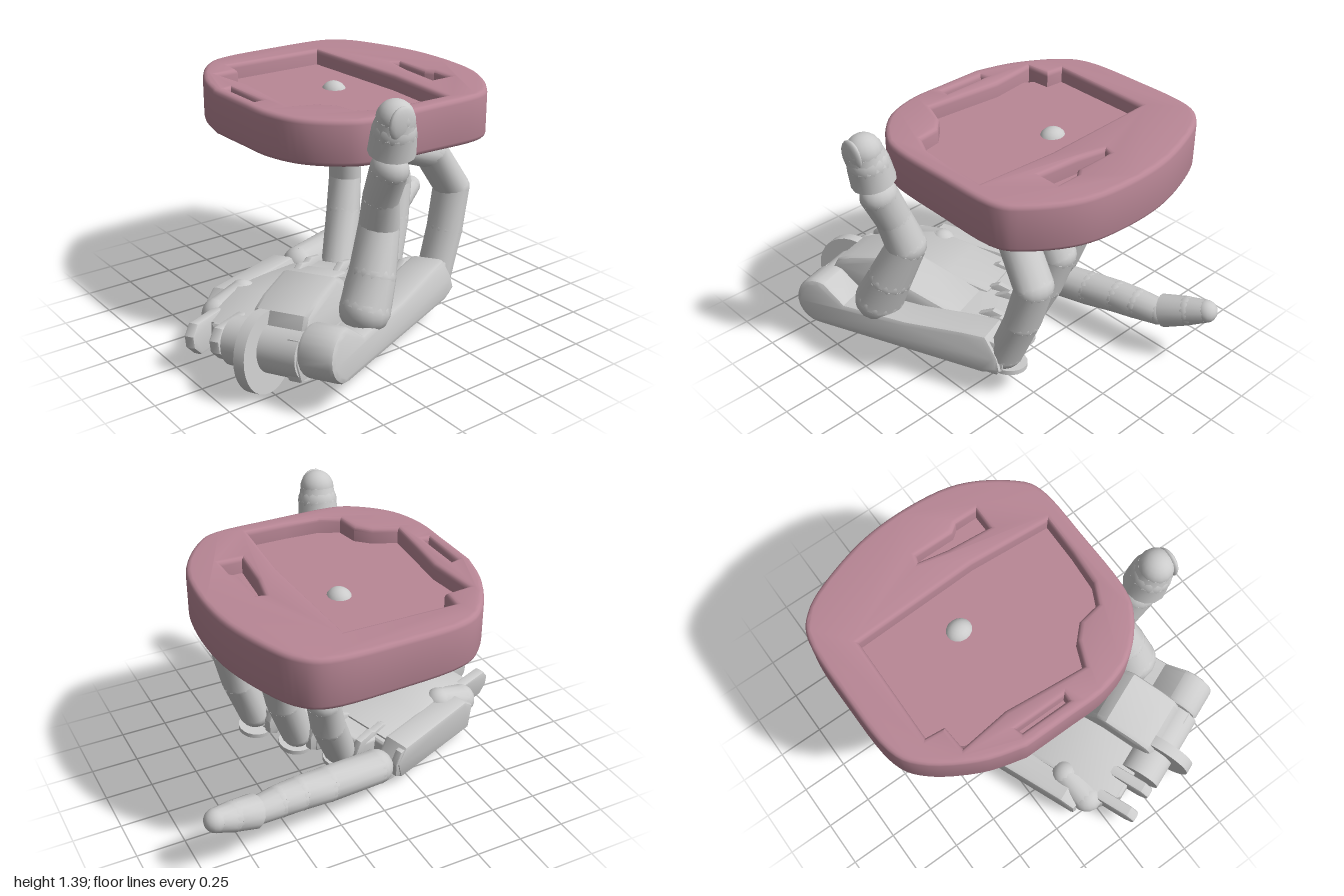
import * as THREE from 'three';
import { toCreasedNormals } from 'three/addons/utils/BufferGeometryUtils.js';

const grey = new THREE.MeshStandardMaterial({ color: 0xcccccc });
const pink = new THREE.MeshStandardMaterial({ color: 0xb98796 });
const V = (p) => new THREE.Vector3(p[0], p[1], p[2]);
const vec2s = (pts) => pts.map(([x, y]) => new THREE.Vector2(x, y));

function add(parent, name, geo, mat = grey) {
  const mesh = new THREE.Mesh(geo, mat);
  mesh.name = name;
  parent.add(mesh);
  return mesh;
}

// Tapered cylinder between two points
function rod(parent, name, a, b, ra, rb, sides = 14) {
  const A = V(a), B = V(b), dir = B.clone().sub(A);
  const m = add(parent, name, toCreasedNormals(new THREE.CylinderGeometry(rb, ra, dir.length(), sides), 0.7));
  m.position.copy(A).add(B).multiplyScalar(0.5);
  m.quaternion.setFromUnitVectors(new THREE.Vector3(0, 1, 0), dir.normalize());
}

// Chain of segments with rounded joints; points are [x, y, z, radius], width gives an oval section along z
function limb(parent, name, points, width = 1, flatStart = false) {
  const g = new THREE.Group();
  g.name = name;
  g.scale.z = width;
  const pts = points.map(([x, y, z, r]) => [x, y, z / width, r]);
  pts.forEach((p, i) => {
    if (i || !flatStart) {
      add(g, 'joint', new THREE.SphereGeometry(p[3], 16, 12)).position.copy(V(p));
    }
    if (i) rod(g, 'segment', pts[i - 1], p, pts[i - 1][3], p[3]);
  });
  parent.add(g);
}

// Side profile (length, height) extruded across the hand from v0 to v1
function across(parent, name, profile, v0, v1, bevel = 0.012) {
  const geo = new THREE.ExtrudeGeometry(new THREE.Shape(vec2s(profile)), {
    depth: v1 - v0 - 2 * bevel, bevelSize: bevel, bevelThickness: bevel, bevelOffset: -bevel, bevelSegments: 2,
  });
  geo.translate(0, 0, v0 + bevel);
  add(parent, name, toCreasedNormals(geo, 0.6));
}

// Horizontal outline (x, z) extruded upward from y0 to y1, with an optional rule for its vertices
function slab(parent, name, shape, y0, y1, bevel, mat, rule) {
  const geo = new THREE.ExtrudeGeometry(shape, {
    depth: y1 - y0 - 2 * bevel, bevelSize: bevel, bevelThickness: bevel, bevelOffset: -bevel,
    bevelSegments: 3, bevelEnabled: bevel > 0,
  });
  geo.rotateX(-Math.PI / 2).translate(0, y0 + bevel, 0);
  if (rule) {
    const p = geo.attributes.position;
    for (let i = 0; i < p.count; i++) p.setY(i, rule(p.getX(i), p.getY(i), p.getZ(i)));
  }
  add(parent, name, toCreasedNormals(geo, 0.6), mat);
}
const flip = (pts) => vec2s(pts.map(([x, z]) => [x, -z]));

function buildTray(root) {
  const g = new THREE.Group();
  g.name = 'tray';
  root.add(g);
  const outline = [[-.545, -.32], [-.545, -.08], [-.54, .13], [-.475, .32], [-.33, .465], [-.18, .52], [.14, .525], [.46, .515],
    [.6, .42], [.73, .21], [.775, -.03], [.765, -.32], [.69, -.59], [.6, -.765], [.46, -.848], [.14, -.86], [-.18, -.845],
    [-.34, -.75], [-.48, -.53]];
  const ring = new THREE.Shape(new THREE.SplineCurve([...flip(outline), flip([outline[0]])[0]]).getPoints(90));
  // Recess and the two shallow side dents
  const holes = [
    [[-.24, -.67], [.32, -.66], [.34, 0], [.31, .43], [.1, .425], [-.08, .41], [-.18, .36], [-.2, .24], [-.27, .17],
      [-.39, .12], [-.37, -.1], [-.35, -.3], [-.38, -.56], [-.25, -.57]],
    [[.47, -.05], [.5, -.2], [.53, -.19], [.53, .02], [.56, .06], [.56, .18], [.45, .18]],
    [[-.48, -.3], [-.45, -.31], [-.45, -.04], [-.48, -.04]],
  ];
  holes.forEach((h) => ring.holes.push(new THREE.Path(flip(h))));
  // The underside slopes gently
  const slope = (x, y, z) => (y < 1.1 ? y - 0.025 * (x - 0.1) + 0.012 * z : y);
  slab(g, 'trayRim', ring, 1.01, 1.255, 0.025, pink, slope);
  const floor = [[-.5, -.32], [-.5, .12], [-.3, .44], [.42, .47], [.66, .2], [.7, -.2], [.45, -.78], [-.2, -.78]];
  slab(g, 'trayFloor', new THREE.Shape(flip(floor)), 1.012, 1.17, 0, pink, slope);
}

function buildPalm(root) {
  // Hand frame: x along the fingers, z towards the thumb
  const palm = new THREE.Group();
  palm.name = 'palm';
  palm.rotation.set(-0.107, 0.384, 0, 'YXZ');
  root.add(palm);

  const outline = [[-.86, .55], [.22, .55], [.22, .33], [.14, .31], [.14, .06], [.07, .04], [.07, -.18], [-.02, -.2],
    [-.02, -.375], [-.5, -.385], [-.72, -.32], [-.82, -.2], [-.82, .06], [-.76, .08], [-.76, .2], [-.86, .22]];
  slab(palm, 'palmBody', new THREE.Shape(flip(outline)), 0.085, 0.25, 0.02, grey);

  // Forked knuckle mounts, one pair of cheeks and a tongue per finger
  [[.25, .43], [.19, .185], [.11, -.065], [.02, -.265]].forEach(([u, v]) => {
    [-1, 1].forEach((s) => {
      across(palm, 'knuckleCheek', [[u - .3, .2], [u - .06, .09], [u - .01, .12], [u, .2], [u - .03, .27], [u - .12, .29]],
        v + s * .1 - .02, v + s * .1 + .02, 0.006);
    });
    const tongue = add(palm, 'knuckleTongue', new THREE.CylinderGeometry(.095, .095, .025, 20));
    tongue.position.set(u - .02, .1, v);
  });

  // Thumb-side edge with its rounded wrist end
  const wristEnd = [];
  for (let i = 0; i <= 12; i++) {
    const a = Math.PI * (0.4 + i / 12 * 1.1);
    wristEnd.push([-.82 + .13 * Math.cos(a), .22 + .13 * Math.sin(a)]);
  }
  across(palm, 'thumbSideWall', [[.14, .09], [.24, .12], [.22, .2], [.15, .31], [.02, .3], [-.3, .26], [-.66, .25],
    ...wristEnd], .37, .57, 0.025);
  across(palm, 'backCover', [[-.84, .15], [-.86, .3], [-.82, .38], [-.74, .42], [-.56, .47], [-.5, .44], [-.44, .35],
    [-.1, .25], [-.1, .15]], .06, .38, 0.03);
  across(palm, 'pinkySideCover', [[-.82, .15], [-.8, .25], [-.55, .33], [-.3, .3], [-.05, .26], [-.05, .15]], -.27, .1, 0.025);
  across(palm, 'pinkySideWall', [[-.64, .09], [-.03, .09], [.01, .2], [-.04, .29], [-.56, .31], [-.64, .25]], -.395, -.25, 0.02);

  // Wrist disc, prongs and side lug
  const wheel = (name, u, y, v, r, w) => rod(palm, name, [u, y, v - w / 2], [u, y, v + w / 2], r, r, 32);
  wheel('wristDisc', -.86, .185, .13, .2, .06);
  wheel('wristHub', -.84, .2, .16, .12, .42);
  [-.25, -.1].forEach((v) => {
    across(palm, 'wristProng', [[-.7, .12], [-.9, .12], [-.945, .17], [-.945, .23], [-.9, .28], [-.7, .28]], v - .03, v + .03);
  });
  across(palm, 'wristProng', [[-.7, .1], [-.93, .1], [-.95, .2], [-.91, .3], [-.7, .3]], .3, .38);
  limb(palm, 'sideLug', [[-.66, .22, -.29, .085], [-.5, .27, -.25, .075]]);
}

export function createModel() {
  const root = new THREE.Group();
  root.name = 'handHoldingTray';
  buildPalm(root);
  buildTray(root);

  // Curled fingers
  limb(root, 'indexFinger', [[.37, .23, .32, .085], [.46, .47, .295, .087], [.515, .69, .275, .088], [.375, .905, .26, .086],
    [.14, .965, .245, .065]], 1.2);
  limb(root, 'middleFinger', [[.23, .21, .075, .085], [.33, .47, .01, .088], [.38, .66, -.03, .086], [.29, .9, .02, .082],
    [.1, .99, .04, .065]], 1.15);
  limb(root, 'ringFinger', [[.09, .2, -.15, .085], [.2, .45, -.25, .088], [.25, .63, -.3, .084], [.215, .95, -.265, .084],
    [.125, 1.14, -.23, .066]], 1.12);

  // Straight little finger
  limb(root, 'littleFinger', [[-.03, .165, -.345, .09], [.28, .2, -.4, .09], [.45, .225, -.43, .085], [.57, .235, -.45, .08],
    [.7, .24, -.475, .068]], 1.08);
  limb(root, 'littleFingertip', [[.72, .255, -.485, .088], [.84, .3, -.525, .077], [.935, .335, -.555, .06]], 1, true);

  // Upright thumb
  limb(root, 'thumb', [[-.295, .35, .59, .122], [-.23, .5, .565, .11], [-.15, .71, .51, .095], [-.18, .88, .56, .084],
    [-.19, 1.04, .63, .088]], 1.12);
  limb(root, 'thumbTip', [[-.195, 1.13, .65, .112], [-.2, 1.23, .67, .105], [-.205, 1.3, .685, .09]], 1, true);
  const nail = add(root, 'thumbNail', new THREE.SphereGeometry(1, 16, 10));
  nail.scale.set(.075, .085, .025);
  nail.position.set(-.215, 1.29, .748);
  nail.rotation.x = .05;
  return root;
}
